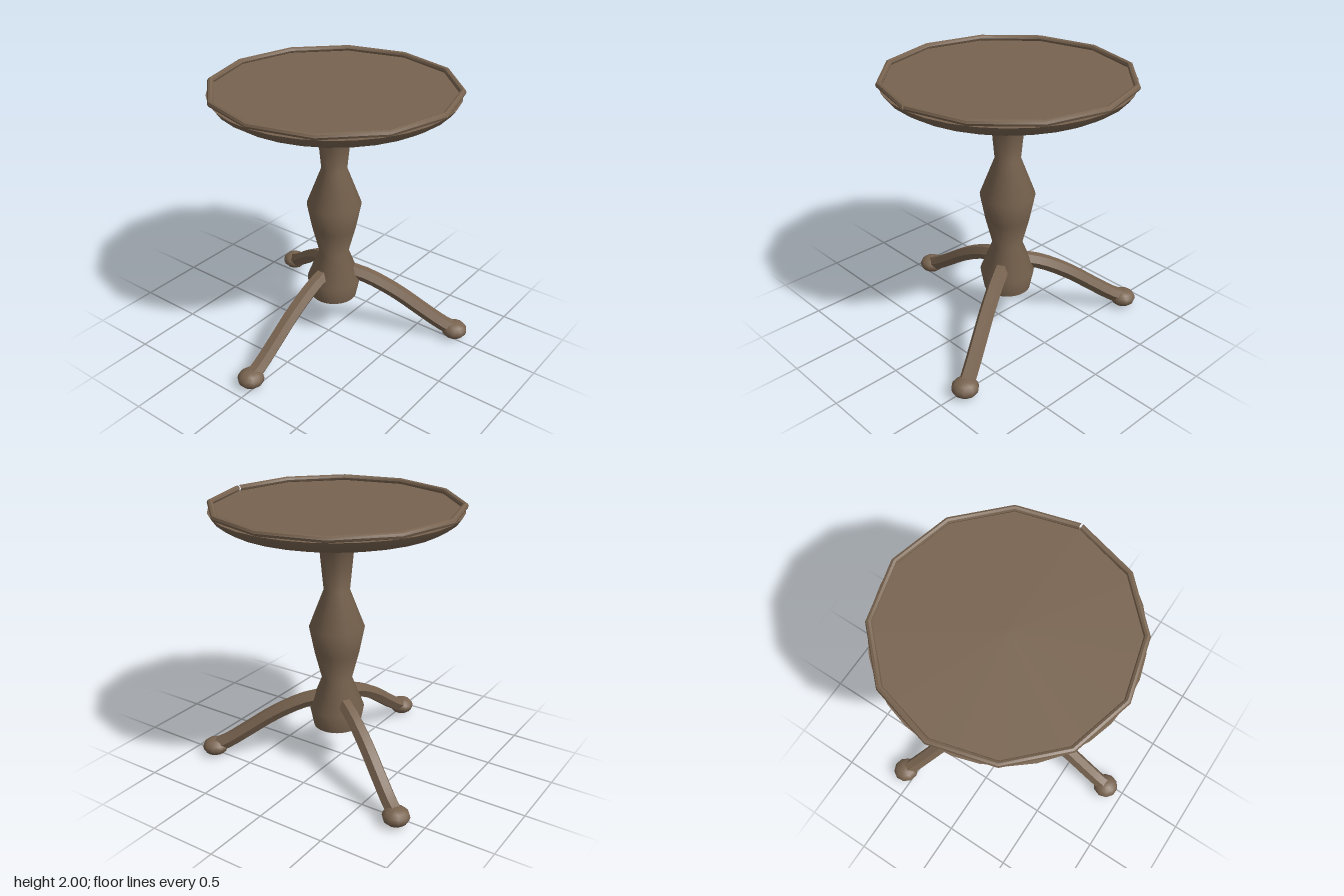
import * as THREE from 'three';
import { toCreasedNormals } from 'three/addons/utils/BufferGeometryUtils.js';

const V2 = (a) => a.map(([r, y]) => new THREE.Vector2(r, y));

export function createModel() {
  const group = new THREE.Group();
  group.name = 'pedestalTable';
  const wood = new THREE.MeshStandardMaterial({ color: 0x78634f });
  wood.name = 'brownWood';

  const add = (parent, name, geometry) => {
    const mesh = new THREE.Mesh(geometry, wood);
    mesh.name = name;
    parent.add(mesh);
    return mesh;
  };
  const turned = (profile) =>
    toCreasedNormals(new THREE.LatheGeometry(V2(profile), 32), 1.0);

  // everything is turned about one slightly off-centre axis
  const table = new THREE.Group();
  table.name = 'table';
  table.position.set(-0.014, 0, -0.082);
  group.add(table);

  // turned column with a flared head
  add(table, 'column', turned([
    [0, 0.315], [0.172, 0.315], [0.2, 0.46], [0.11, 0.69], [0.163, 0.9], [0.2, 1.09],
    [0.093, 1.37], [0.123, 1.69], [0.23, 1.825], [0, 1.872],
  ]));

  // shallow round top with a bevelled underside
  add(table, 'tableTop', turned([
    [0, 1.872], [0.776, 1.872], [0.835, 1.91], [0.868, 1.957], [0, 1.957],
  ]));

  // twelve-sided raised rim with a small seam at one side
  const rim = new THREE.TorusGeometry(0.863, 0.022, 8, 12, Math.PI * 2 - 0.014);
  rim.rotateX(-Math.PI / 2);
  rim.rotateY(0.007);
  add(table, 'rim', toCreasedNormals(rim, 0.6)).position.y = 1.978;

  // three splayed legs with flattened ball feet
  const path = new THREE.CatmullRomCurve3([
    [0.08, 0.54], [0.25, 0.49], [0.47, 0.375], [0.70, 0.215], [0.84, 0.12], [0.92, 0.08],
  ].map(([r, y]) => new THREE.Vector3(0, y, r)));
  const legGeometry = toCreasedNormals(new THREE.TubeGeometry(path, 12, 0.058, 6), 0.5);
  const footGeometry = new THREE.SphereGeometry(0.097, 10, 8);
  footGeometry.scale(1, 0.066 / 0.097, 1);
  for (let i = 0; i < 3; i++) {
    const leg = new THREE.Group();
    leg.name = 'leg' + (i + 1);
    leg.rotation.y = -0.024 + (i * Math.PI * 2) / 3;
    add(leg, 'legShaft', legGeometry);
    add(leg, 'foot', footGeometry).position.set(0, 0.067, 0.938);
    table.add(leg);
  }
  return group;
}
